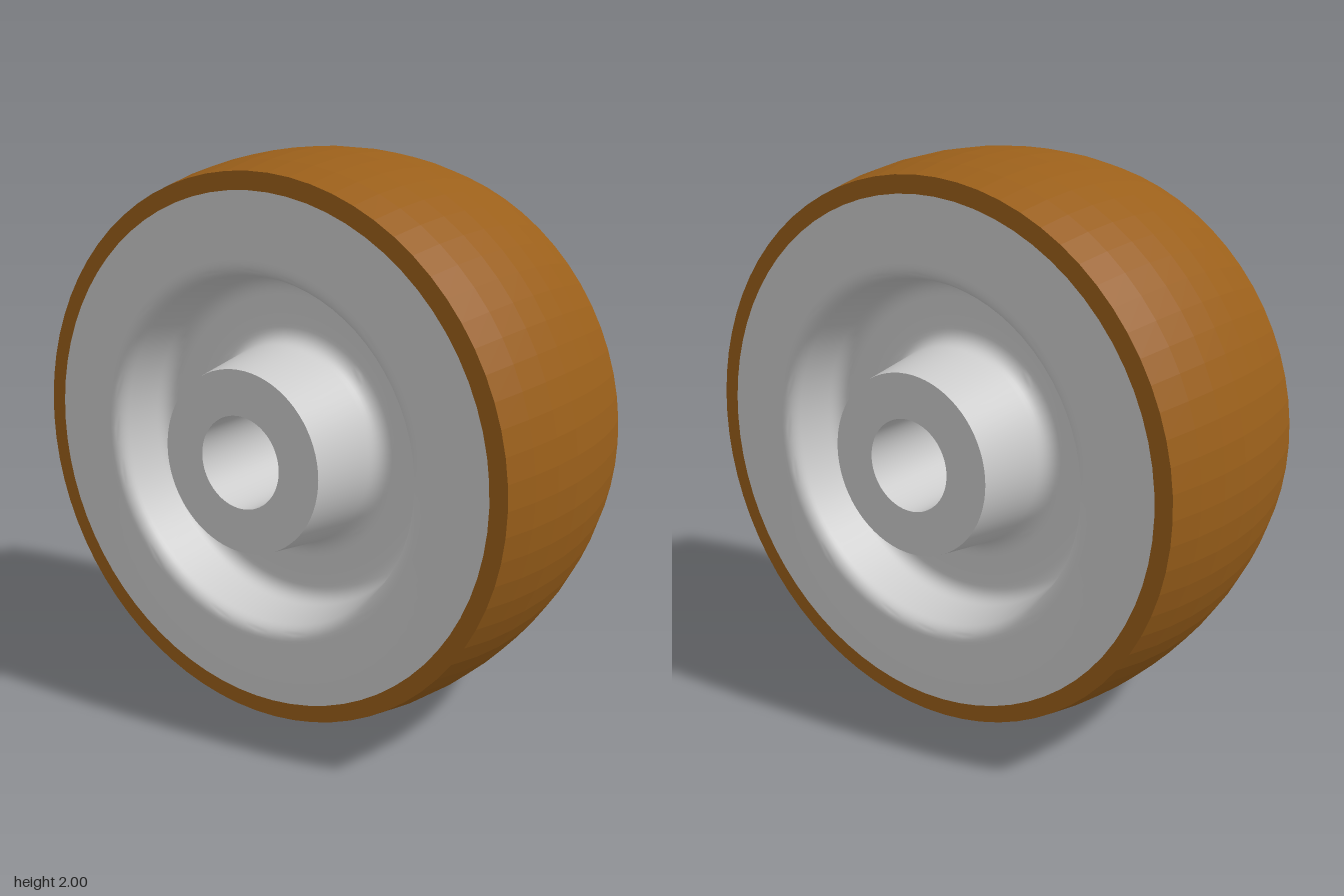
import * as THREE from 'three';
import { toCreasedNormals } from 'three/addons/utils/BufferGeometryUtils.js';

const SEGMENTS = 72;

// Revolve a closed (radius, z) outline about the z axle.
function revolve(name, outline, material) {
  const geometry = new THREE.LatheGeometry([...outline, outline[0].clone()], SEGMENTS);
  geometry.rotateX(Math.PI / 2);
  const mesh = new THREE.Mesh(toCreasedNormals(geometry, Math.PI / 6), material);
  mesh.name = name;
  return mesh;
}

// One face of the core, from the bore out to the rim, with filleted recess corners.
function coreFace() {
  const path = new THREE.Path();
  path.moveTo(0.16, 0.5);
  path.lineTo(0.315, 0.5);
  path.lineTo(0.352, 0.26);
  path.quadraticCurveTo(0.361, 0.2, 0.42, 0.2);
  path.lineTo(0.52, 0.2);
  path.quadraticCurveTo(0.575, 0.2, 0.584, 0.255);
  path.lineTo(0.604, 0.385);
  path.quadraticCurveTo(0.612, 0.435, 0.66, 0.435);
  path.lineTo(0.88, 0.435);
  return path.getPoints(8);
}

export function createModel() {
  const group = new THREE.Group();
  group.name = 'casterWheel';

  // Metal core: hub, bore, recessed web and rim, mirrored front to back
  const front = coreFace();
  const back = front.map((p) => new THREE.Vector2(p.x, -p.y));
  const metal = new THREE.MeshStandardMaterial({ color: 0xcccccc });
  group.add(revolve('wheelCore', [...back, ...front.reverse()], metal));

  // Crowned tread: a shallow arc across the width, in flat facets
  const halfWidth = 0.435, edgeDrop = 0.06, bands = 7;
  const arcRadius = (halfWidth ** 2 + edgeDrop ** 2) / (2 * edgeDrop);
  const tread = [new THREE.Vector2(0.88, -halfWidth)];
  for (let i = 0; i <= bands; i++) {
    const z = halfWidth * (2 * i / bands - 1);
    tread.push(new THREE.Vector2(1 - arcRadius + Math.sqrt(arcRadius ** 2 - z * z), z));
  }
  tread.push(new THREE.Vector2(0.88, halfWidth));
  const rubber = new THREE.MeshStandardMaterial({ color: 0x9a5f1a, flatShading: true });
  group.add(revolve('tread', tread, rubber));

  // Stand the wheel on the ground
  group.children.forEach((part) => { part.position.y = 1; });
  return group;
}
